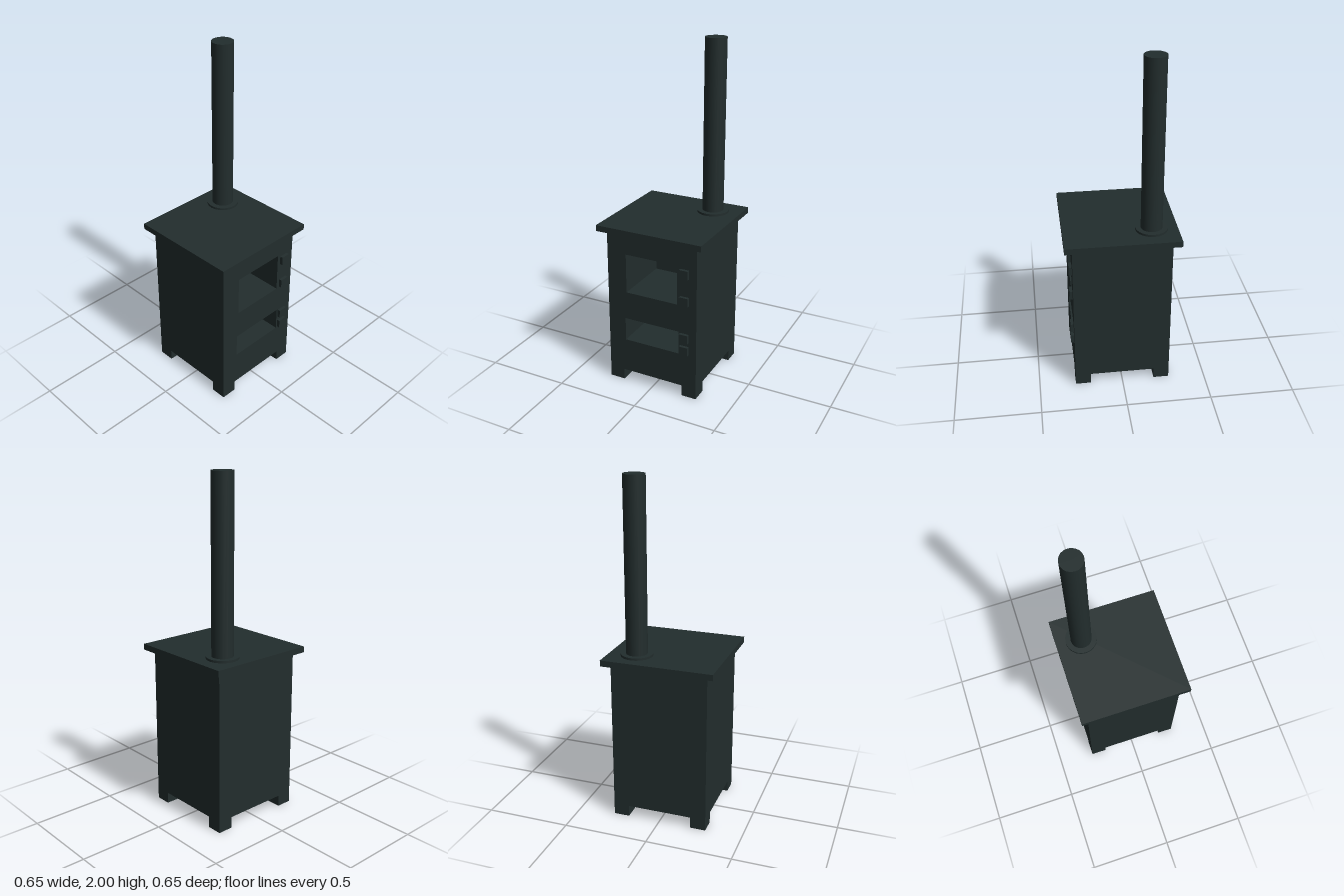
import * as THREE from 'three';

const iron = new THREE.MeshStandardMaterial({ color: 0x222d2d });
iron.name = 'dark cast iron';

const HALF = 0.283;        // half width of the firebox
const BASE = 0.067, TOP = 0.955;
const RECESS = 0.36;       // depth of the door openings

// Box without its front (+z) face; inward turns it into a cavity lining
function openBox(w, h, d, inward = false) {
  const g = new THREE.BoxGeometry(w, h, d);
  const index = Array.from(g.index.array);
  index.splice(24, 6);
  if (inward) {
    index.reverse();
    const n = g.attributes.normal;
    for (let i = 0; i < n.count; i++) n.setXYZ(i, -n.getX(i), -n.getY(i), -n.getZ(i));
  }
  g.clearGroups();
  g.setIndex(index);
  return g;
}

export function createModel() {
  const stove = new THREE.Group();
  stove.name = 'stove';

  function add(name, geometry, x, y, z) {
    const mesh = new THREE.Mesh(geometry, iron);
    mesh.name = name;
    mesh.position.set(x, y, z);
    stove.add(mesh);
  }

  // Firebox: sides, back, top and bottom
  add('firebox', openBox(2 * HALF, TOP - BASE, 2 * HALF), 0, (TOP + BASE) / 2, 0);

  // Front panel with two openings, each lined by a recess
  const front = new THREE.Shape();
  front.moveTo(-HALF, BASE).lineTo(HALF, BASE).lineTo(HALF, TOP).lineTo(-HALF, TOP).closePath();
  const openings = [
    { name: 'fireChamber', x0: -0.163, x1: 0.161, y0: 0.587, y1: 0.825 },
    { name: 'ashChamber', x0: -0.174, x1: 0.172, y0: 0.275, y1: 0.417 },
  ];
  for (const { name, x0, x1, y0, y1 } of openings) {
    const hole = new THREE.Path();
    hole.moveTo(x0, y0).lineTo(x0, y1).lineTo(x1, y1).lineTo(x1, y0).closePath();
    front.holes.push(hole);
    add(name, openBox(x1 - x0, y1 - y0, RECESS, true),
      (x0 + x1) / 2, (y0 + y1) / 2, HALF - RECESS / 2);
  }
  add('frontPanel', new THREE.ShapeGeometry(front), 0, 0, HALF);

  // Hinge blocks beside the openings
  for (const y of [0.785, 0.619, 0.386, 0.307]) {
    add('hinge', new THREE.BoxGeometry(0.054, 0.053, 0.018), 0.209, y, HALF + 0.009);
  }

  // Corner feet
  const foot = 0.092;
  for (const sx of [-1, 1]) {
    for (const sz of [-1, 1]) {
      add('foot', new THREE.BoxGeometry(foot, BASE, foot),
        sx * (HALF - foot / 2), BASE / 2, sz * (HALF - foot / 2));
    }
  }

  // Overhanging top plate
  add('topPlate', new THREE.BoxGeometry(0.654, 0.035, 0.654), 0, TOP + 0.0175, 0);

  // Flue pipe and its collar
  add('flueCollar', new THREE.CylinderGeometry(0.093, 0.093, 0.013, 20), 0.165, 0.9965, -0.177);
  add('fluePipe', new THREE.CylinderGeometry(0.062, 0.062, 1.01, 20), 0.165, 1.495, -0.177);

  return stove;
}
